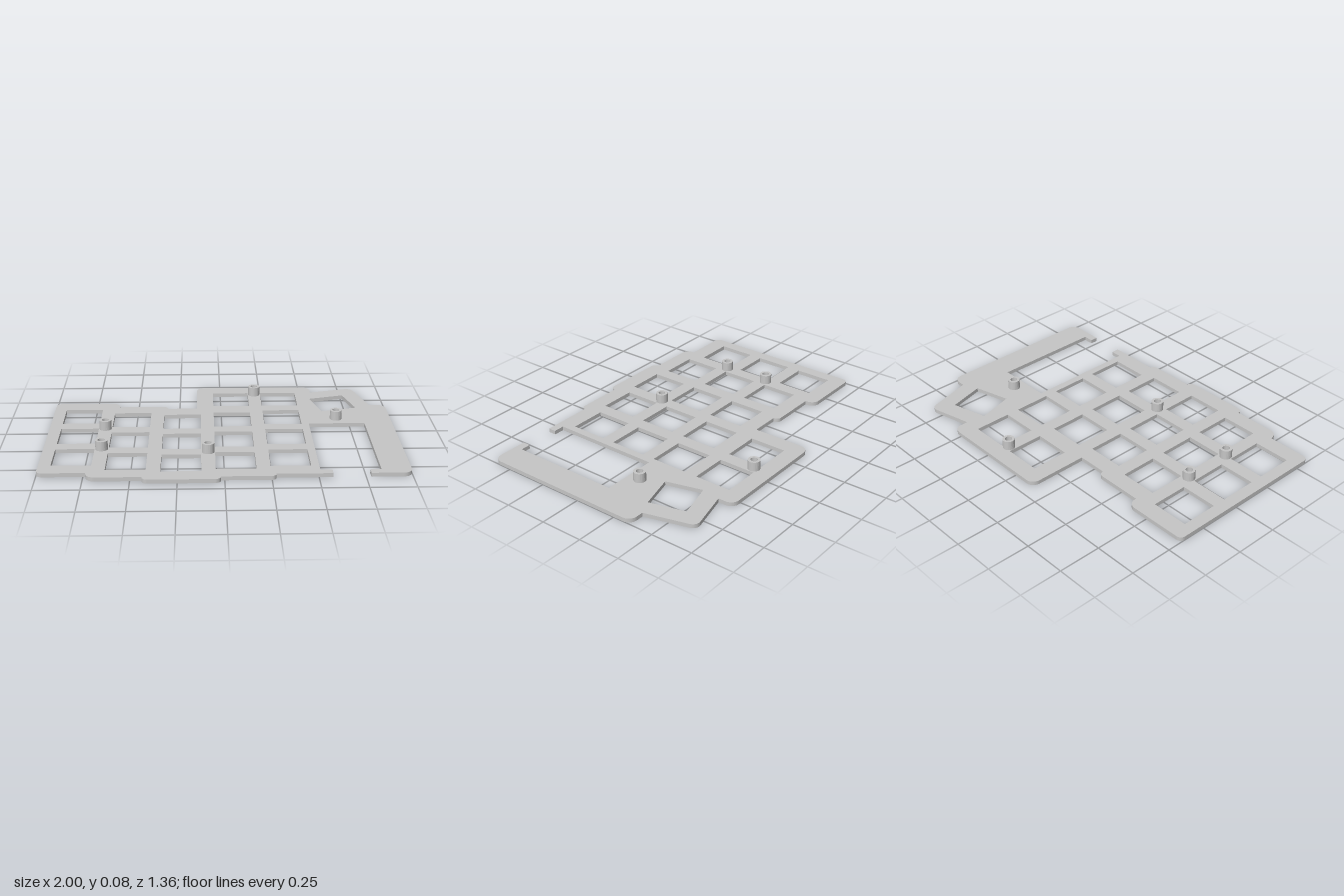
import * as THREE from 'three';

const PLATE_H = 0.023, POST_TOP = 0.078, KEY = 0.218;

// Closed outline from [x, z, cornerRadius] points, drawn in (x, -z)
function roundedOutline(points) {
  const shape = new THREE.Shape();
  const P = points.map(([x, z]) => new THREE.Vector2(x, -z));
  const n = P.length;
  P.forEach((p, i) => {
    const r = points[i][2] || 0;
    const toward = (q, d) => q.clone().sub(p).normalize().multiplyScalar(d).add(p);
    const prev = P[(i + n - 1) % n], next = P[(i + 1) % n];
    const a = toward(prev, r), b = toward(next, r);
    if (i === 0) shape.moveTo(a.x, a.y);
    else shape.lineTo(a.x, a.y);
    if (r) {
      const c = toward(prev, r * 0.45), d = toward(next, r * 0.45);
      shape.bezierCurveTo(c.x, c.y, d.x, d.y, b.x, b.y);
    }
  });
  shape.closePath();
  return shape;
}

// Square key cut-out centred at (x, z), clockwise
function keyHole(x, z, angle = 0) {
  const pts = [[-1, -1], [-1, 1], [1, 1], [1, -1]].map(([u, v]) =>
    new THREE.Vector2(u * KEY / 2, v * KEY / 2)
      .rotateAround(new THREE.Vector2(), angle)
      .add(new THREE.Vector2(x, -z)));
  return new THREE.Path(pts);
}

function roundHole(x, z, r) {
  return new THREE.Path().absarc(x, -z, r, 0, Math.PI * 2, true);
}

function extrudeUp(shape, depth) {
  const g = new THREE.ExtrudeGeometry(shape, { depth, bevelEnabled: false, curveSegments: 12 });
  return g.rotateX(-Math.PI / 2);
}

export function createModel() {
  const group = new THREE.Group();
  group.name = 'keyboardPlate';
  const grey = new THREE.MeshStandardMaterial({ color: 0xc6c6c6 });
  grey.name = 'grey';

  // Counter-clockwise plate outline with stepped columns and an open bay
  const outline = roundedOutline([
    [-1, -0.417, 0.03], [-1, 0.591, 0.03], [-0.736, 0.591], [-0.736, 0.648, 0.05],
    [-0.438, 0.648], [-0.438, 0.68, 0.03], [-0.02, 0.68, 0.03], [-0.02, 0.648],
    [0.274, 0.648, 0.025], [0.274, 0.621], [0.575, 0.621], [0.575, 0.575],
    [0.51, 0.575], [0.51, -0.073], [0.837, -0.073], [0.837, 0.575],
    [0.777, 0.575], [0.777, 0.621], [1, 0.621, 0.05], [1, -0.362, 0.05],
    [0.907, -0.362], [0.828, -0.651, 0.04], [0.565, -0.586], [0.565, -0.68, 0.05],
    [-0.145, -0.68, 0.05], [-0.145, -0.325], [-0.32, -0.325], [-0.32, -0.357, 0.03],
    [-0.613, -0.357], [-0.613, -0.417, 0.05],
  ]);

  // Key columns: x and the z of each key centre
  const columns = [
    [-0.823, [-0.208, 0.09, 0.384]],
    [-0.528, [-0.149, 0.149, 0.443]],
    [-0.232, [-0.118, 0.175, 0.47]],
    [0.063, [-0.473, -0.149, 0.149, 0.443]],
    [0.358, [-0.473, -0.178, 0.117, 0.411]],
  ];
  for (const [x, zs] of columns)
    for (const z of zs) outline.holes.push(keyHole(x, z));
  outline.holes.push(keyHole(0.683, -0.398, Math.PI / 12)); // tilted thumb key

  // Hollow standoffs
  const posts = [[0.21, -0.558], [-0.675, -0.02], [-0.675, 0.274], [-0.084, 0.325], [0.676, -0.148]];
  for (const [x, z] of posts) {
    outline.holes.push(roundHole(x, z, 0.02));
    const ring = new THREE.Shape().absarc(0, 0, 0.035, 0, Math.PI * 2, false);
    ring.holes.push(roundHole(0, 0, 0.02));
    const post = new THREE.Mesh(extrudeUp(ring, POST_TOP - PLATE_H), grey);
    post.name = 'standoff';
    post.position.set(x, PLATE_H, z);
    group.add(post);
  }

  const plate = new THREE.Mesh(extrudeUp(outline, PLATE_H), grey);
  plate.name = 'switchPlate';
  group.add(plate);
  return group;
}
